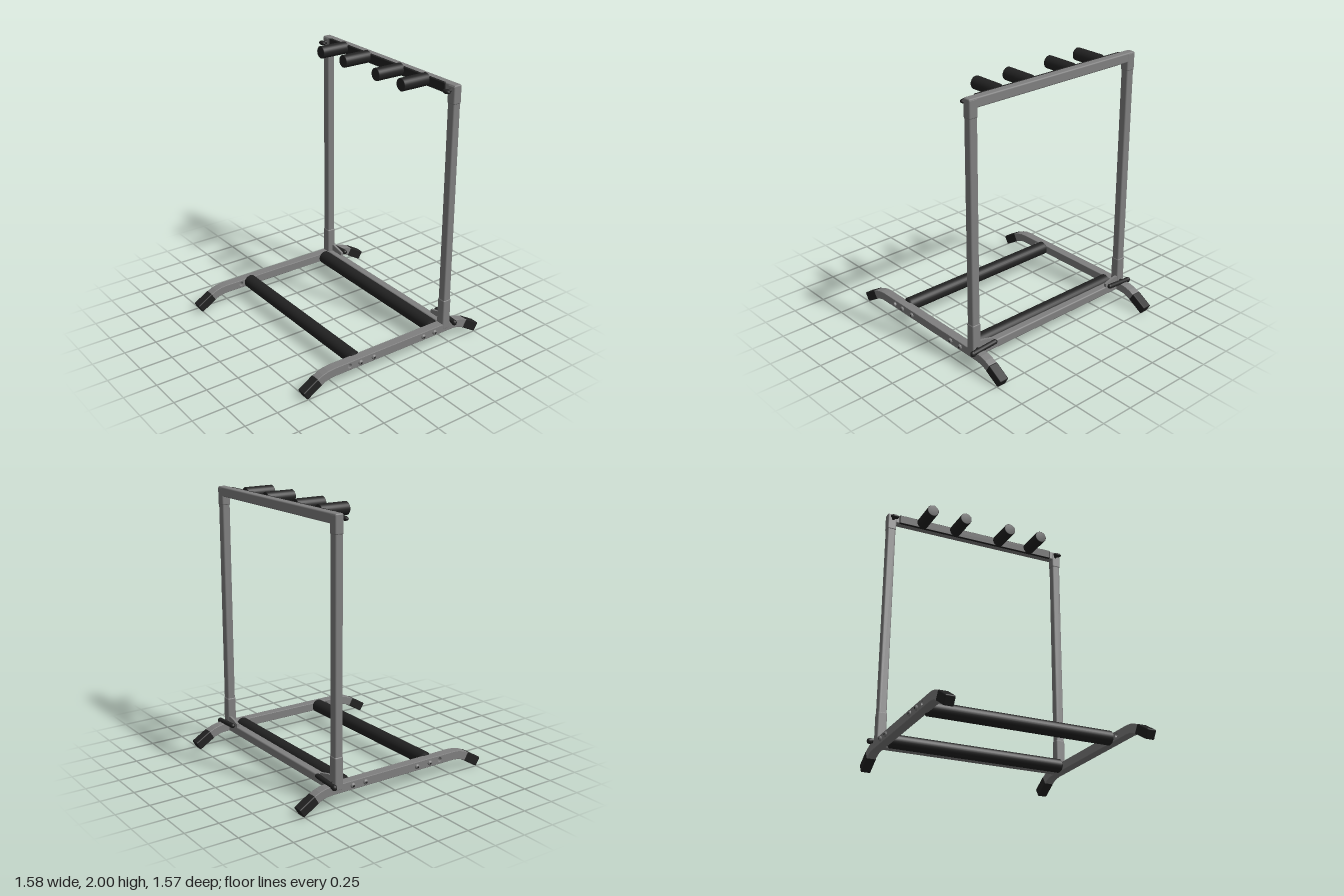
import * as THREE from 'three';
import { RoundedBoxGeometry } from 'three/addons/geometries/RoundedBoxGeometry.js';

const steel = new THREE.MeshStandardMaterial({ color: 0x7f7f7f });
steel.name = 'grey steel';
const black = new THREE.MeshStandardMaterial({ color: 0x222222 });
black.name = 'black foam and rubber';

export function createModel() {
  const model = new THREE.Group();
  model.name = 'rack';

  function add(name, geometry, material, x, y, z) {
    const mesh = new THREE.Mesh(geometry, material);
    mesh.name = name;
    mesh.position.set(x, y, z);
    model.add(mesh);
    return mesh;
  }
  const tube = (w, h, d, r = 0.01) => new RoundedBoxGeometry(w, h, d, 2, r);

  // Rounded padding cylinder along x or z
  function padding(name, radius, length, axis, x, y, z, bevel = 0.008) {
    const h = length / 2;
    const profile = [[0, -h], [radius - bevel, -h], [radius, -h + bevel], [radius, h - bevel], [radius - bevel, h], [0, h]]
      .map(([a, b]) => new THREE.Vector2(a, b));
    const mesh = add(name, new THREE.LatheGeometry(profile, 28), black, x, y, z);
    if (axis === 'x') mesh.rotation.z = Math.PI / 2;
    else mesh.rotation.x = Math.PI / 2;
    return mesh;
  }

  // Extrudes a side outline (z, y) to a given width, centred on x = 0
  function sideExtrude(shape, width, bevel) {
    const g = new THREE.ExtrudeGeometry(shape, {
      depth: width - 2 * bevel, bevelEnabled: true, bevelSize: bevel, bevelOffset: -bevel,
      bevelThickness: bevel, bevelSegments: 2, curveSegments: 12,
    });
    g.translate(0, 0, -(width - 2 * bevel) / 2);
    g.rotateY(-Math.PI / 2);
    return g;
  }

  // Bent leg outline: centre line of one end, offset to both sides and mirrored
  const half = 0.0325;
  const bend = [[0.53, 0.132, 0], [0.575, 0.128, 0.15], [0.615, 0.117, 0.36], [0.645, 0.104, 0.52], [0.68, 0.084, 0.54]];
  const offset = (s) => bend.map(([z, y, a]) => [z + s * half * Math.sin(a), y + s * half * Math.cos(a)]);
  const top = offset(1), bottom = offset(-1);
  const mirror = (pts) => pts.map(([z, y]) => [-z, y]);
  const outline = [
    ...mirror(bottom).reverse(), ...bottom, ...top.reverse(), ...mirror(top).reverse(),
  ].map(([z, y]) => new THREE.Vector2(z, y));
  const legShape = new THREE.Shape(outline);
  const hole = new THREE.Path();
  hole.absarc(0.402, 0.135, 0.015, 0, Math.PI * 2, true);
  legShape.holes.push(hole);
  const legGeometry = sideExtrude(legShape, 0.068, 0.004);

  const footGeometry = tube(0.072, 0.07, 0.14, 0.008);
  const boltGeometry = new THREE.SphereGeometry(0.019, 12, 8);

  for (const s of [-1, 1]) {
    const side = s > 0 ? 'left' : 'right';
    const x = s * 0.713;

    add(side + 'Leg', legGeometry, steel, x, 0, 0);

    // Rubber feet
    for (const f of [-1, 1]) {
      const foot = add(side + (f > 0 ? 'FrontFoot' : 'BackFoot'), footGeometry, black, x, 0.066, f * 0.711);
      foot.rotation.x = f * 0.54;
    }

    // Upright with wider sleeves at both ends
    add(side + 'Post', tube(0.064, 1.83, 0.06), steel, x, 1.04, -0.471);
    add(side + 'LowerSleeve', tube(0.07, 0.24, 0.067), steel, x, 0.24, -0.471);
    add(side + 'UpperSleeve', tube(0.07, 0.13, 0.066), steel, x, 1.91, -0.471);

    // Corner gusset between lower bar and post
    const wedge = new THREE.Shape([[0, 0], [0.13, 0], [0.13, 0.06], [0.1, 0.06], [0, 0.035]]
      .map(([a, b]) => new THREE.Vector2(a, b)));
    const gusset = add(side + 'Gusset', new THREE.ExtrudeGeometry(wedge, { depth: 0.02, bevelEnabled: false }),
      steel, s * 0.56, 0.155, s > 0 ? -0.5 : -0.48);
    if (s < 0) gusset.rotation.y = Math.PI;

    // Clamp lever behind the post
    const lever = add(side + 'Lever', new THREE.CapsuleGeometry(0.018, 0.196, 6, 14), black, s * 0.672, 0.172, -0.528);
    lever.rotation.z = Math.PI / 2 - s * 0.07;
    padding(side + 'LeverBolt', 0.016, 0.05, 'z', x, 0.165, -0.51, 0.004);
    const knob = add(side + 'LeverKnob', new THREE.SphereGeometry(0.022, 14, 10), black, s * 0.768, 0.163, -0.528);
    knob.scale.z = 0.85;

    // Top corner knob
    const topKnob = add(side + 'TopKnob', new THREE.SphereGeometry(0.02, 16, 10), black, s * 0.706, 1.938, -0.405);
    topKnob.scale.set(1.7, 0.8, 1);
    padding(side + 'TopKnobStem', 0.013, 0.05, 'z', s * 0.706, 1.938, -0.422, 0.003);

    // Side bolts
    for (const z of [0.31, 0.195, -0.255, -0.36]) {
      const bolt = add(side + 'Bolt', boltGeometry, steel, s * 0.747, 0.131, z);
      bolt.scale.x = 0.75;
      const cap = add(side + 'BoltCap', boltGeometry, black, s * 0.756, 0.131, z);
      cap.scale.set(0.35, 0.5, 0.5);
    }
  }

  // Cross bars
  add('topBar', tube(1.496, 0.07, 0.062), steel, 0, 1.945, -0.472);
  add('lowerBackBar', tube(1.38, 0.065, 0.06), steel, 0, 0.132, -0.471);

  // Padding on the front of the top bar
  add('topPadding', tube(1.31, 0.07, 0.022, 0.006), black, 0, 1.945, -0.443);

  // Padded rests
  padding('frontRest', 0.051, 1.38, 'x', 0, 0.136, 0.322, 0.014);
  padding('backRest', 0.051, 1.36, 'x', 0, 0.136, -0.39, 0.014);

  // Padded pegs
  for (const x of [-0.465, -0.19, 0.185, 0.458]) {
    padding('peg', 0.046, 0.225, 'z', x, 1.954, -0.33, 0.004);
  }

  return model;
}
